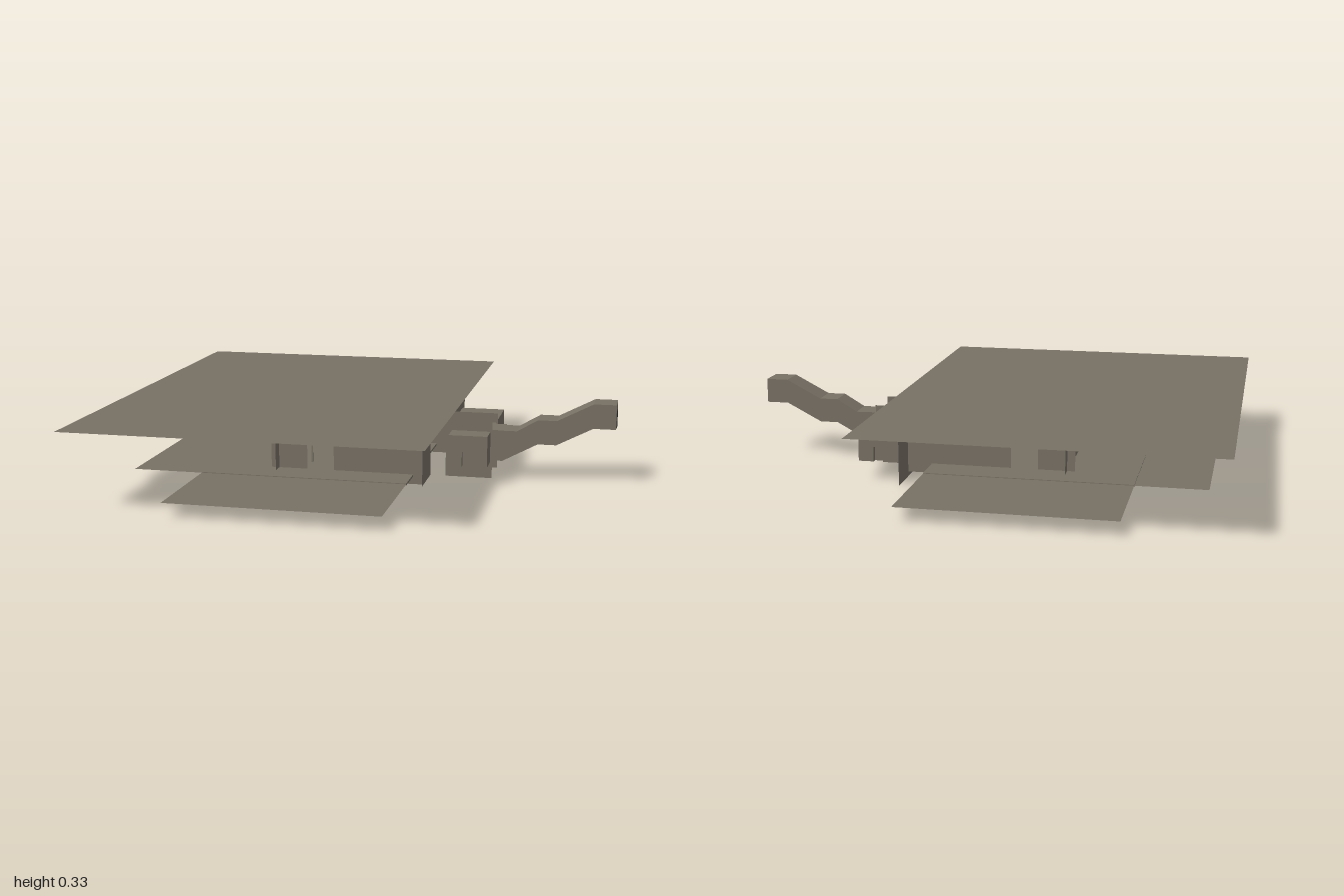
import * as THREE from 'three';

export function createModel() {
  const model = new THREE.Group();
  const stone = new THREE.MeshStandardMaterial({ color: 0x787165, side: THREE.DoubleSide });
  stone.name = 'warm grey stone';
  const dark = new THREE.MeshStandardMaterial({ color: 0x2a2a29, side: THREE.DoubleSide });
  dark.name = 'dark grey grate';

  function add(name, geometry, material = stone) {
    const mesh = new THREE.Mesh(geometry, material);
    mesh.name = name;
    model.add(mesh);
    return mesh;
  }

  // Box given by its limits on each axis
  function box(name, x0, x1, y0, y1, z0, z1, material) {
    const g = new THREE.BoxGeometry(x1 - x0, y1 - y0, z1 - z0);
    g.translate((x0 + x1) / 2, (y0 + y1) / 2, (z0 + z1) / 2);
    return add(name, g, material);
  }

  // Sheets without thickness: upright across x, upright across z, and level
  function wallX(name, x0, x1, y0, y1, z) {
    add(name, new THREE.PlaneGeometry(x1 - x0, y1 - y0).translate((x0 + x1) / 2, (y0 + y1) / 2, z));
  }
  function wallZ(name, z0, z1, y0, y1, x) {
    const g = new THREE.PlaneGeometry(z1 - z0, y1 - y0).rotateY(Math.PI / 2);
    add(name, g.translate(x, (y0 + y1) / 2, (z0 + z1) / 2));
  }
  function level(name, x0, x1, z0, z1, y) {
    const g = new THREE.PlaneGeometry(x1 - x0, z1 - z0).rotateX(-Math.PI / 2);
    add(name, g.translate((x0 + x1) / 2, y, (z0 + z1) / 2));
  }

  // Outline in x and y, extruded along z from z0 to z1
  function extrude(name, points, z0, z1) {
    const shape = new THREE.Shape(points.map(([x, y]) => new THREE.Vector2(x, y)));
    const g = new THREE.ExtrudeGeometry(shape, { depth: z1 - z0, bevelEnabled: false });
    return add(name, g.translate(0, 0, z0));
  }

  // Large upper sheet
  level('upperSheet', -1, 0.382, -0.923, 0.92, 0.317);

  // Cross-shaped ground: a thin middle slab with level arms
  box('groundSlab', -0.615, 0.22, 0.051, 0.059, -0.417, 0.417);
  level('groundArmFront', -0.615, 0.22, 0.417, 0.868, 0.056);
  level('groundArmBack', -0.615, 0.22, -0.868, -0.417, 0.056);
  level('groundArmRight', -0.9, -0.615, -0.417, 0.417, 0.056);

  // Main room: front and back walls with a doorway each
  for (const side of [1, -1]) {
    const label = side > 0 ? 'front' : 'back';
    wallX(label + 'WallShort', -0.365, -0.215, 0.02, 0.24, 0.275 * side);
    wallX(label + 'WallLong', -0.105, side > 0 ? 0.257 : 0.32, 0.02, 0.24, 0.275 * side);
    wallX(label + 'DoorHeader', -0.215, -0.105, 0.16, 0.24, 0.275 * side);
  }

  // Main room: side walls
  wallZ('rightWallLong', -0.15, 0.325, 0.012, 0.243, -0.333);
  wallZ('rightWallShort', -0.325, -0.25, 0.012, 0.243, -0.333);
  wallZ('rightDoorHeader', -0.25, -0.15, 0.16, 0.243, -0.333);
  wallZ('leftWallFront', 0.0875, 0.275, 0.012, 0.243, 0.257);
  wallZ('leftWallBack', -0.415, -0.0875, 0, 0.24, 0.32);

  // Dark grate with toothed edges under the room
  box('gratePanel', -0.265, 0.155, 0.047, 0.05, -0.18, 0.18, dark);
  for (let i = 0; i < 14; i++) {
    const x = -0.26 + i * 0.03;
    box('grateBar', x, x + 0.015, 0.045, 0.05, -0.19, 0.19, dark);
  }

  // Four slim posts
  for (const x of [-0.225, 0.092])
    for (const z of [-0.16, 0.16])
      box('post', x - 0.003, x + 0.003, 0.059, 0.285, z - 0.003, z + 0.003);

  // Passage leading to the tunnel
  for (const z of [-0.0875, 0.0875]) wallX('passageWall', 0.32, 0.51, 0.012, 0.245, z);
  level('passageRoof', 0.32, 0.502, -0.0875, 0.0875, 0.205);

  // Side chambers, each with a doorway set in the outer wall
  function chamber(name, x0, x1, zInner, zOuter) {
    const zWall = zOuter - Math.sign(zOuter) * 0.02;
    box(name, x0, x1, 0.078, 0.205, Math.min(zInner, zWall), Math.max(zInner, zWall));
    extrude(name + 'DoorWall', [[x0, 0.078], [0.4, 0.078], [0.4, 0.138], [0.44, 0.138],
      [0.44, 0.078], [x1, 0.078], [x1, 0.205], [x0, 0.205]],
    Math.min(zWall, zOuter), Math.max(zWall, zOuter));
  }
  chamber('frontChamber', 0.345, 0.502, 0.0875, 0.18);
  chamber('backChamber', 0.32, 0.502, -0.0875, -0.36);

  // Tunnel: collar, then a hollow rising shaft
  const collarZ = 0.06;
  for (const z of [-collarZ, collarZ]) wallX('tunnelCollar', 0.5, 0.55, 0.08, 0.207, z);
  level('tunnelCollarTop', 0.5, 0.55, -collarZ, collarZ, 0.207);
  level('tunnelCollarBase', 0.5, 0.55, -collarZ, collarZ, 0.08);

  const roofLine = [[0.5, 0.205], [0.605, 0.205], [0.69, 0.255], [0.765, 0.255], [0.91, 0.33], [1, 0.33]];
  const floorLine = [[1, 0.23], [0.91, 0.23], [0.765, 0.155], [0.69, 0.155], [0.55, 0.08], [0.5, 0.08]];
  extrude('tunnelSide', [...roofLine, ...floorLine], 0.051, 0.055);
  extrude('tunnelSide', [...roofLine, ...floorLine], -0.055, -0.051);
  const lowered = roofLine.map(([x, y]) => [x, y - 0.004]).reverse();
  extrude('tunnelRoof', [...roofLine, ...lowered], -0.051, 0.051);

  // Stairs forming the tunnel floor between the sides
  const stairs = [[1, 0.23]];
  function flight(x0, y0, x1, y1, count) {
    stairs.push([x0, y0]);
    for (let i = 1; i <= count; i++) {
      const x = x0 + (x1 - x0) * i / count;
      stairs.push([x, y0 + (y1 - y0) * (i - 1) / count], [x, y0 + (y1 - y0) * i / count]);
    }
  }
  flight(0.91, 0.23, 0.765, 0.155, 6);
  flight(0.69, 0.155, 0.55, 0.08, 6);
  stairs.push([0.5, 0.08]);
  const raised = floorLine.map(([x, y]) => [x, y + 0.02]).reverse();
  extrude('tunnelStairs', [...stairs, ...raised], -0.051, 0.051);

  // Tunnel mouth: end wall with a dark doorway
  box('tunnelEndWall', 0.994, 1, 0.23, 0.33, -0.055, 0.055);
  box('tunnelDoorway', 0.999, 1.002, 0.23, 0.3, -0.02, 0.02, dark);

  return model;
}
